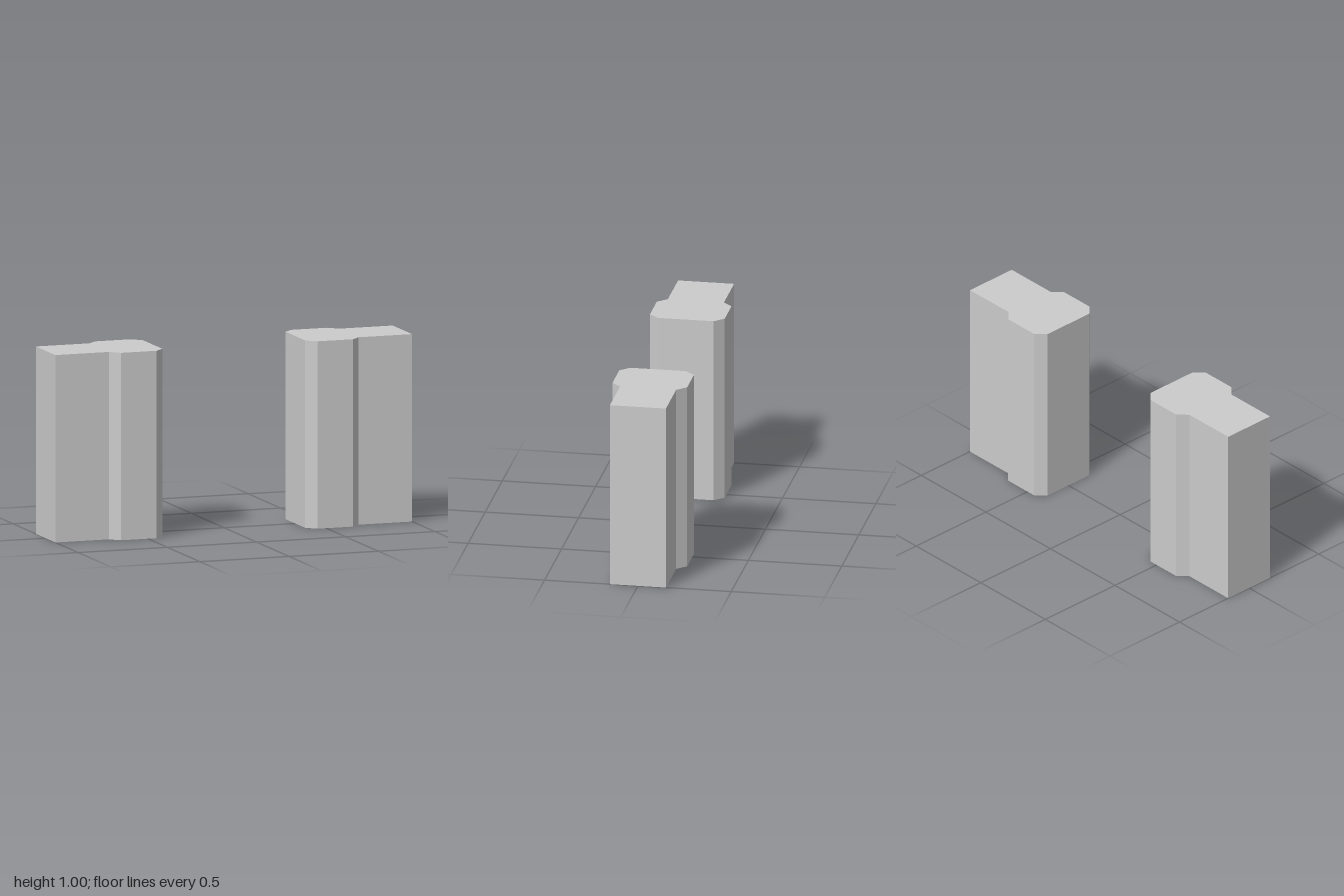
import * as THREE from 'three';

const HEIGHT = 1;

export function createModel() {
  const group = new THREE.Group();
  const material = new THREE.MeshStandardMaterial({ color: 0xcccccc, flatShading: true });

  // Half outline of a jamb in plan: flat wall stub widening to a chamfered post
  const half = [[1, 0.15], [0.7, 0.15], [0.65, 0.2], [0.45, 0.2], [0.4, 0.15]];
  const mirrored = half.map(([x, z]) => [x, -z]).reverse();
  const outline = [...half, ...mirrored].map(([x, z]) => new THREE.Vector2(x, z));

  // Plan extruded upwards
  const geometry = new THREE.ExtrudeGeometry(new THREE.Shape(outline), {
    depth: HEIGHT,
    bevelEnabled: false,
  });
  geometry.rotateX(-Math.PI / 2);

  // The two facing jambs, one turned half round
  for (const [name, turn] of [['leftJamb', 0], ['rightJamb', Math.PI]]) {
    const jamb = new THREE.Mesh(geometry, material);
    jamb.name = name;
    jamb.rotation.y = turn;
    group.add(jamb);
  }

  group.name = 'doorwayJambs';
  return group;
}
